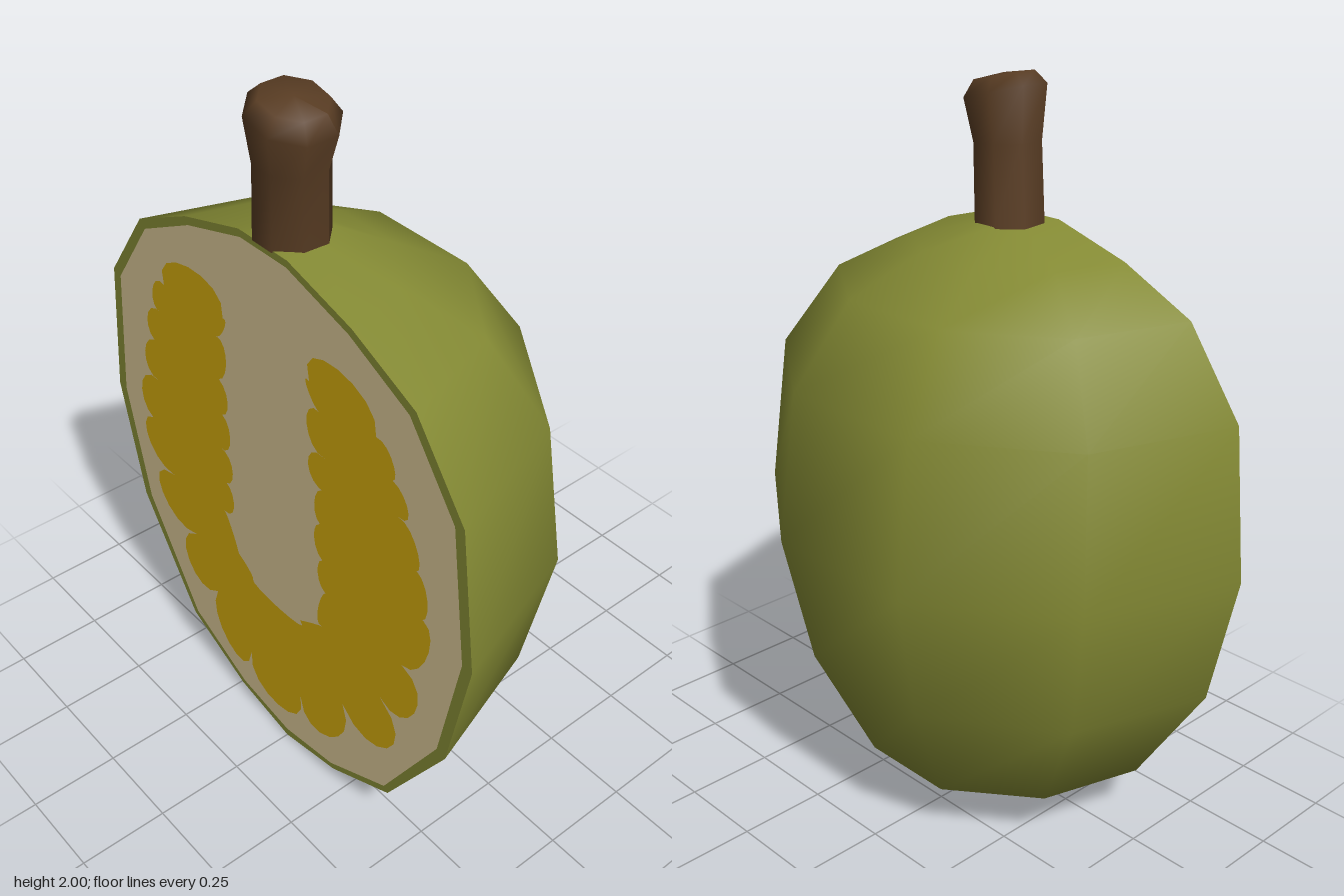
import * as THREE from 'three';

const CUT = 0.32; // z of the cut face

const material = (name, color) => {
  const m = new THREE.MeshStandardMaterial({ color });
  m.name = name;
  return m;
};

// Skin stacked rings of points, bottom to top, with a fan over the last ring
function loft(rings, capPoint) {
  const n = rings[0].length;
  const pos = [];
  const index = [];
  rings.forEach(ring => ring.forEach(p => pos.push(...p)));
  for (let i = 0; i < rings.length - 1; i++) {
    for (let j = 0; j < n - 1; j++) {
      const a = i * n + j, b = a + 1, c = b + n, d = a + n;
      index.push(a, b, c, a, c, d);
    }
  }
  const last = (rings.length - 1) * n;
  pos.push(...capPoint);
  for (let j = 0; j < n - 1; j++) index.push(last + j, last + j + 1, rings.length * n);
  const g = new THREE.BufferGeometry();
  g.setAttribute('position', new THREE.Float32BufferAttribute(pos, 3));
  g.setIndex(index);
  g.computeVertexNormals();
  return g;
}

// Symmetric outline from its right half, bottom to top
function mirrored(half) {
  const right = half.map(([x, y]) => new THREE.Vector2(x, y));
  const left = half.slice(1).reverse().map(([x, y]) => new THREE.Vector2(-x, y));
  return [...right, ...left];
}

// Closed outline of round lobes; each entry is notch x, y, then tip x, y
function lobedShape(lobes) {
  const shape = new THREE.Shape();
  shape.moveTo(lobes[0][0], lobes[0][1]);
  lobes.forEach(([ax, ay, tx, ty], i) => {
    const [bx, by] = lobes[(i + 1) % lobes.length];
    const ox = (tx - (ax + bx) / 2) * 1.33, oy = (ty - (ay + by) / 2) * 1.33;
    const wx = (bx - ax) * 0.18, wy = (by - ay) * 0.18;
    shape.bezierCurveTo(ax + ox - wx, ay + oy - wy, bx + ox + wx, by + oy + wy, bx, by);
  });
  return shape;
}

export function createModel() {
  const group = new THREE.Group();
  const green = material('green rind', 0x848a34);
  const cream = material('cream flesh', 0xd4c293);
  const yellow = material('yellow pulp', 0xd0a80d);
  const brown = material('brown stem', 0x583c23);

  const add = (name, geometry, mat) => {
    const mesh = new THREE.Mesh(geometry, mat);
    mesh.name = name;
    group.add(mesh);
    return mesh;
  };

  // Rind shell: half rings given as half width, height, depth
  const profile = [
    [0, 0, 0], [0.21, 0.045, 0.22], [0.44, 0.16, 0.45], [0.65, 0.49, 0.6], [0.725, 0.85, 0.675],
    [0.68, 1.25, 0.625], [0.52, 1.47, 0.48], [0.31, 1.57, 0.3], [0.09, 1.635, 0.17],
  ];
  const shellRings = profile.map(([w, y, d]) => Array.from({ length: 6 }, (_, j) => {
    const a = j * Math.PI / 5;
    return [w * Math.cos(a), y, CUT - d * Math.sin(a) / Math.sin(Math.PI * 0.4)];
  }));
  add('rindShell', loft(shellRings, [0, 1.635, CUT]), green);

  // Cut face: rind border around the flesh
  const inner = mirrored([
    [0, 0.025], [0.2, 0.06], [0.425, 0.175], [0.62, 0.5], [0.692, 0.85],
    [0.65, 1.24], [0.5, 1.45], [0.3, 1.55], [0.085, 1.615],
  ]);
  const border = new THREE.Shape(mirrored(profile));
  border.holes.push(new THREE.Path(inner));
  add('rindBorder', new THREE.ShapeGeometry(border), green).position.z = CUT;
  add('flesh', new THREE.ShapeGeometry(new THREE.Shape(inner)), cream).position.z = CUT;

  // Pulp: horseshoe with scalloped outer and inner edges
  const outerLobes = [
    [-0.175, 1.35, -0.31, 1.43], [-0.43, 1.32, -0.49, 1.275], [-0.455, 1.22, -0.53, 1.17],
    [-0.475, 1.11, -0.56, 1.05], [-0.5, 0.98, -0.6, 0.9], [-0.51, 0.825, -0.6, 0.75],
    [-0.475, 0.67, -0.55, 0.56], [-0.385, 0.51, -0.44, 0.37], [-0.3, 0.35, -0.265, 0.17],
    [-0.15, 0.22, -0.035, 0.1], [0.075, 0.23, 0.2, 0.17], [0.26, 0.355, 0.44, 0.34],
    [0.41, 0.51, 0.54, 0.56], [0.49, 0.69, 0.585, 0.81], [0.53, 0.885, 0.575, 0.965],
    [0.51, 1.03, 0.54, 1.085], [0.47, 1.15, 0.5, 1.2], [0.43, 1.24, 0.455, 1.285],
    [0.395, 1.33, 0.265, 1.44],
  ];
  const innerLobes = [
    [0.16, 1.35, 0.155, 1.32], [0.2, 1.28, 0.145, 1.22], [0.21, 1.155, 0.145, 1.1],
    [0.215, 1.05, 0.165, 0.99], [0.205, 0.935, 0.16, 0.875], [0.21, 0.82, 0.17, 0.765],
    [0.215, 0.715, 0.17, 0.65], [0.18, 0.58, 0.12, 0.55], [0.09, 0.53, 0, 0.505],
    [-0.12, 0.53, -0.15, 0.565], [-0.185, 0.575, -0.195, 0.63], [-0.235, 0.7, -0.185, 0.76],
    [-0.24, 0.81, -0.18, 0.86], [-0.235, 0.92, -0.18, 0.98], [-0.235, 1.04, -0.18, 1.09],
    [-0.235, 1.15, -0.175, 1.21], [-0.215, 1.28, -0.175, 1.315],
  ];
  const pulp = new THREE.ShapeGeometry(lobedShape([...outerLobes, ...innerLobes]), 8);
  add('pulp', pulp, yellow).position.z = CUT + 0.003;

  // Stem: leaning eight-sided rings as centre x, y, z, radius, tilt
  const stemRings = [
    [0, 1.63, 0.235, 0.094, 0], [0.022, 1.83, 0.245, 0.091, -0.05],
    [0.04, 1.945, 0.252, 0.11, -0.25], [0.045, 1.982, 0.252, 0.08, -0.23],
  ].map(([cx, cy, cz, r, tilt]) => Array.from({ length: 9 }, (_, j) => {
    const a = (j + 0.5) * Math.PI / 4;
    const x = r * Math.cos(a);
    return [cx + x, cy + tilt * x, cz - r * Math.sin(a)];
  }));
  add('stem', loft(stemRings, [0.045, 1.988, 0.252]), brown);

  return group;
}
